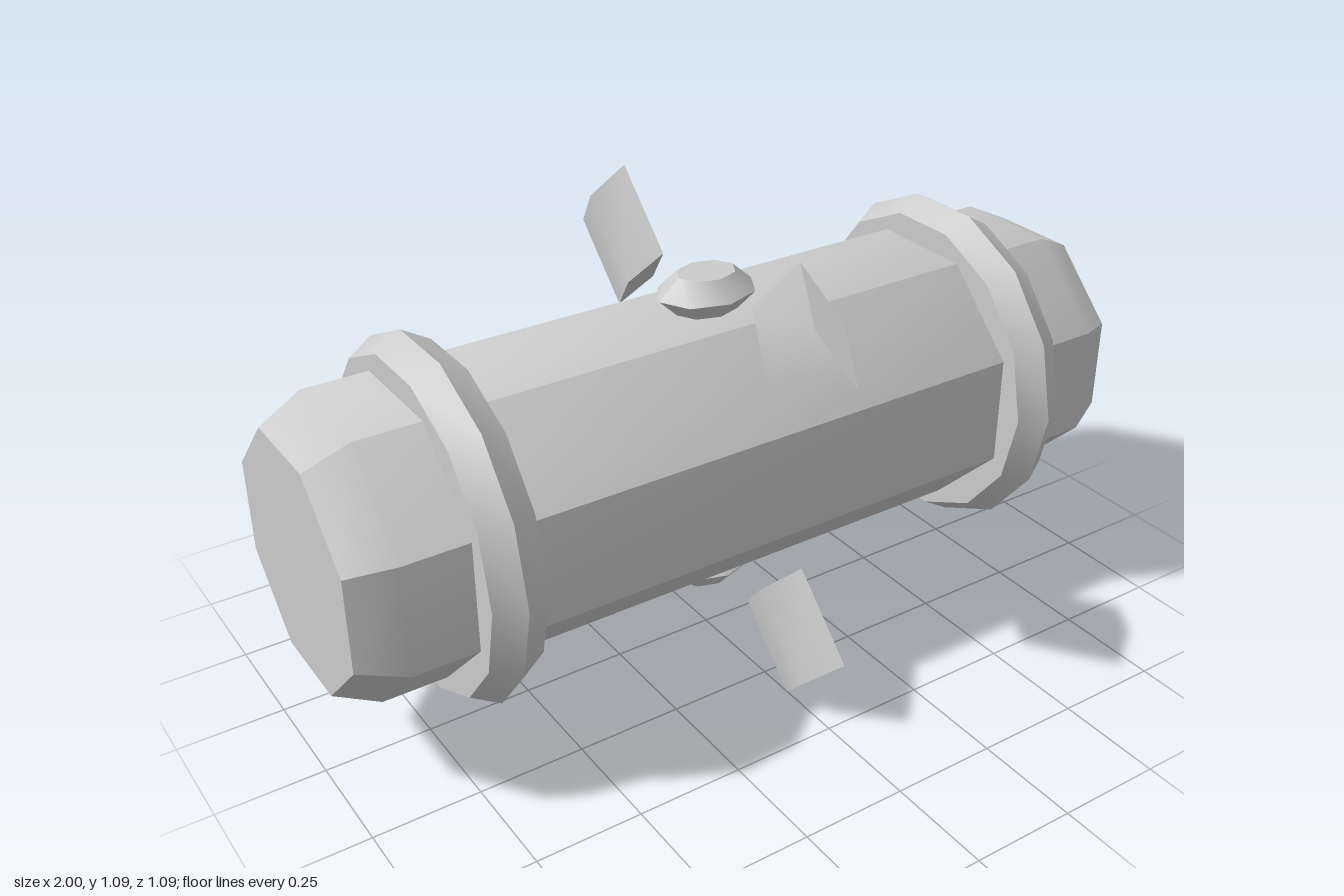
import * as THREE from 'three';
import { toCreasedNormals } from 'three/addons/utils/BufferGeometryUtils.js';

const CENTER_Y = 0.545;
const CREASE = 0.6;

export function createModel() {
  const model = new THREE.Group();
  model.name = 'barrelCapsule';
  const core = new THREE.Group();
  core.name = 'core';
  core.position.y = CENTER_Y;
  model.add(core);

  const gray = new THREE.MeshStandardMaterial({ color: 0xcccccc });
  gray.name = 'lightGray';

  const add = (name, geometry) => {
    const mesh = new THREE.Mesh(toCreasedNormals(geometry, CREASE), gray);
    mesh.name = name;
    core.add(mesh);
    return mesh;
  };
  const lathe = (points, sides, start = 0) =>
    new THREE.LatheGeometry(points.map(([r, y]) => new THREE.Vector2(r, y)), sides, start);

  // Octagonal barrel lying along x, with tapered ends
  add('barrel', lathe(
    [[0, -1], [0.287, -1], [0.338, -0.9], [0.338, 0.9], [0.287, 1], [0, 1]],
    8, Math.PI / 8
  ).rotateZ(-Math.PI / 2));

  // Faceted bands near both ends
  for (const side of [-1, 1]) {
    const band = add(side > 0 ? 'leftBand' : 'rightBand',
      new THREE.TorusGeometry(0.343, 0.072, 6, 14).rotateY(Math.PI / 2));
    band.position.x = side * 0.688;
  }

  // Four floating diamond-section fins on the diagonals
  for (let i = 0; i < 4; i++) {
    add('fin' + (i + 1), new THREE.CylinderGeometry(1, 1, 0.232, 4)
      .scale(0.035, 1, 0.144)
      .translate(0, 0.508, 0)
      .rotateX(Math.PI / 4 + i * Math.PI / 2));
  }

  // Oval bevelled studs above and below the middle
  for (const up of [true, false]) {
    add(up ? 'topStud' : 'bottomStud', lathe(
      [[0, 0.305], [0.07, 0.305], [0.122, 0.355], [0.072, 0.4], [0, 0.4]], 8
    ).scale(1, 1, 0.78).rotateX(up ? 0 : Math.PI));
  }

  return model;
}
